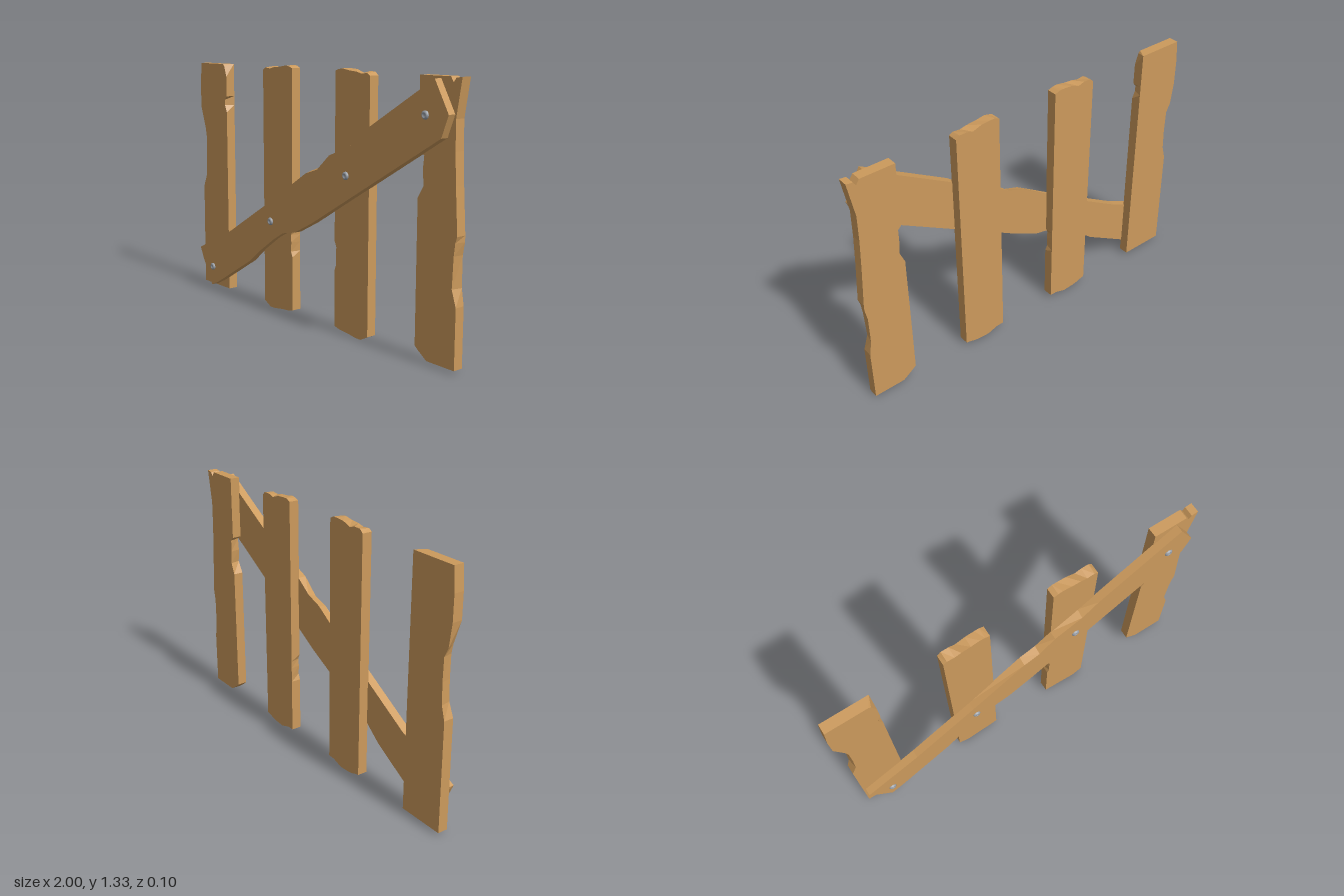
import * as THREE from 'three';

const wood = new THREE.MeshStandardMaterial({ color: 0xcc9a5c, flatShading: true });
const steel = new THREE.MeshStandardMaterial({ color: 0x9aa0a8 });

// Board between two outlines. Each point is [x, y, dx, dy]: front corner
// (counter-clockwise) and how far the back corner is shifted from it.
function board(name, points, zBack, zFront) {
  const front = points.map(([x, y]) => new THREE.Vector2(x, y));
  const back = points.map(([x, y, dx = 0, dy = 0]) => new THREE.Vector2(x + dx, y + dy));
  const pos = [];
  const put = (p, z) => pos.push(p.x, p.y, z);
  for (const [a, b, c] of THREE.ShapeUtils.triangulateShape(front, []))
    [a, b, c].forEach((i) => put(front[i], zFront));
  for (const [a, b, c] of THREE.ShapeUtils.triangulateShape(back, []))
    [c, b, a].forEach((i) => put(back[i], zBack));
  points.forEach((_, i) => {
    const j = (i + 1) % points.length;
    put(front[i], zFront); put(back[i], zBack); put(back[j], zBack);
    put(front[i], zFront); put(back[j], zBack); put(front[j], zFront);
  });
  const geometry = new THREE.BufferGeometry();
  geometry.setAttribute('position', new THREE.Float32BufferAttribute(pos, 3));
  geometry.computeVertexNormals();
  const mesh = new THREE.Mesh(geometry, wood);
  mesh.name = name;
  return mesh;
}

// Domed screw head with a raised rim and a recessed centre
function screw(x, y) {
  const profile = [[0, 0.006], [0.008, 0.006], [0.01, 0.01], [0.014, 0.01], [0.02, 0.005], [0.021, -0.004]];
  const geometry = new THREE.LatheGeometry(profile.map(([r, h]) => new THREE.Vector2(r, h)).reverse(), 16);
  geometry.rotateX(Math.PI / 2);
  const mesh = new THREE.Mesh(geometry, steel);
  mesh.position.set(x, y, 0.044);
  mesh.name = 'screw';
  return mesh;
}

export function createModel() {
  const group = new THREE.Group();
  const zBack = -0.05, zFront = 0.003;

  // Outer upright with long worn hollows on its outer edge
  group.add(board('rightOuterPlank', [
    [-0.99, 0.02], [-0.74, 0.02], [-0.74, 1.05], [-0.757, 1.09, 0.017], [-0.757, 1.12, 0.017],
    [-0.74, 1.14], [-0.74, 1.25], [-0.76, 1.31, 0.02, 0.01], [-0.77, 1.32, 0.03], [-0.99, 1.32],
    [-1.0, 1.2], [-1.0, 1.07], [-0.96, 0.95, -0.025], [-0.95, 0.9, -0.012], [-0.95, 0.78, -0.01],
    [-0.955, 0.67, -0.01], [-0.985, 0.6],
  ], zBack, zFront));

  // Outer upright, chipped on both edges
  group.add(board('leftOuterPlank', [
    [0.755, 0.075], [0.78, 0.055], [0.83, 0.02], [0.998, 0.02], [0.998, 0.31], [0.972, 0.39, 0.012],
    [0.978, 0.54, 0.006], [0.985, 0.6, 0.01], [0.995, 0.63], [0.98, 0.85], [0.972, 1.0], [0.97, 1.14],
    [1.0, 1.32], [0.965, 1.315], [0.952, 1.295], [0.935, 1.32], [0.755, 1.32], [0.755, 0.985],
    [0.79, 0.965, -0.015], [0.783, 0.9, -0.008], [0.79, 0.83, -0.01], [0.755, 0.77],
  ], zBack, zFront));

  // Inner uprights with splintered ends; the second is the mirrored first
  const inner = [
    [-0.395, 0.03], [-0.37, 0.017, 0, 0.008], [-0.345, 0.004, 0, 0.012], [-0.31, 0.004, 0, 0.006],
    [-0.25, 0.013, 0, -0.006], [-0.19, 0.018, 0, 0.008], [-0.15, 0.027], [-0.15, 0.32],
    [-0.162, 0.35, 0.012], [-0.159, 0.4, 0.009], [-0.163, 0.44, 0.013], [-0.15, 0.47],
    [-0.15, 1.318], [-0.175, 1.326, 0, 0.004], [-0.2, 1.33], [-0.25, 1.322, 0, 0.005],
    [-0.3, 1.318, 0, -0.008], [-0.335, 1.31, 0, 0.01], [-0.375, 1.314, 0, 0.006], [-0.395, 1.302],
  ];
  const mirrored = inner.map(([x, y, dx = 0, dy = 0]) => [0.04 - x, y, -dx, dy]).reverse();
  group.add(board('rightInnerPlank', inner, zBack, zFront));
  group.add(board('leftInnerPlank', mirrored, zBack, zFront));

  // Diagonal brace nailed across the front
  group.add(board('diagonalBrace', [
    [-0.95, 0.18, -0.02, 0.03], [-0.86, 0.027], [-0.79, 0.06], [-0.485, 0.24], [-0.39, 0.315, 0.01, 0.012],
    [-0.26, 0.405, 0.01, 0.012], [-0.18, 0.452], [-0.08, 0.473], [0.06, 0.545], [0.925, 1.055],
    [0.965, 1.16], [0.88, 1.31], [0.435, 1.045], [0.345, 0.97, 0, 0.02], [0.19, 0.905],
    [0.1, 0.825, 0, 0.015], [0.01, 0.795, 0, 0.012], [-0.3, 0.6], [-0.66, 0.385], [-0.975, 0.235],
  ], 0, 0.044));

  for (const [x, y] of [[-0.845, 0.14], [-0.285, 0.5], [0.315, 0.82], [0.83, 1.15]])
    group.add(screw(x, y));
  return group;
}
